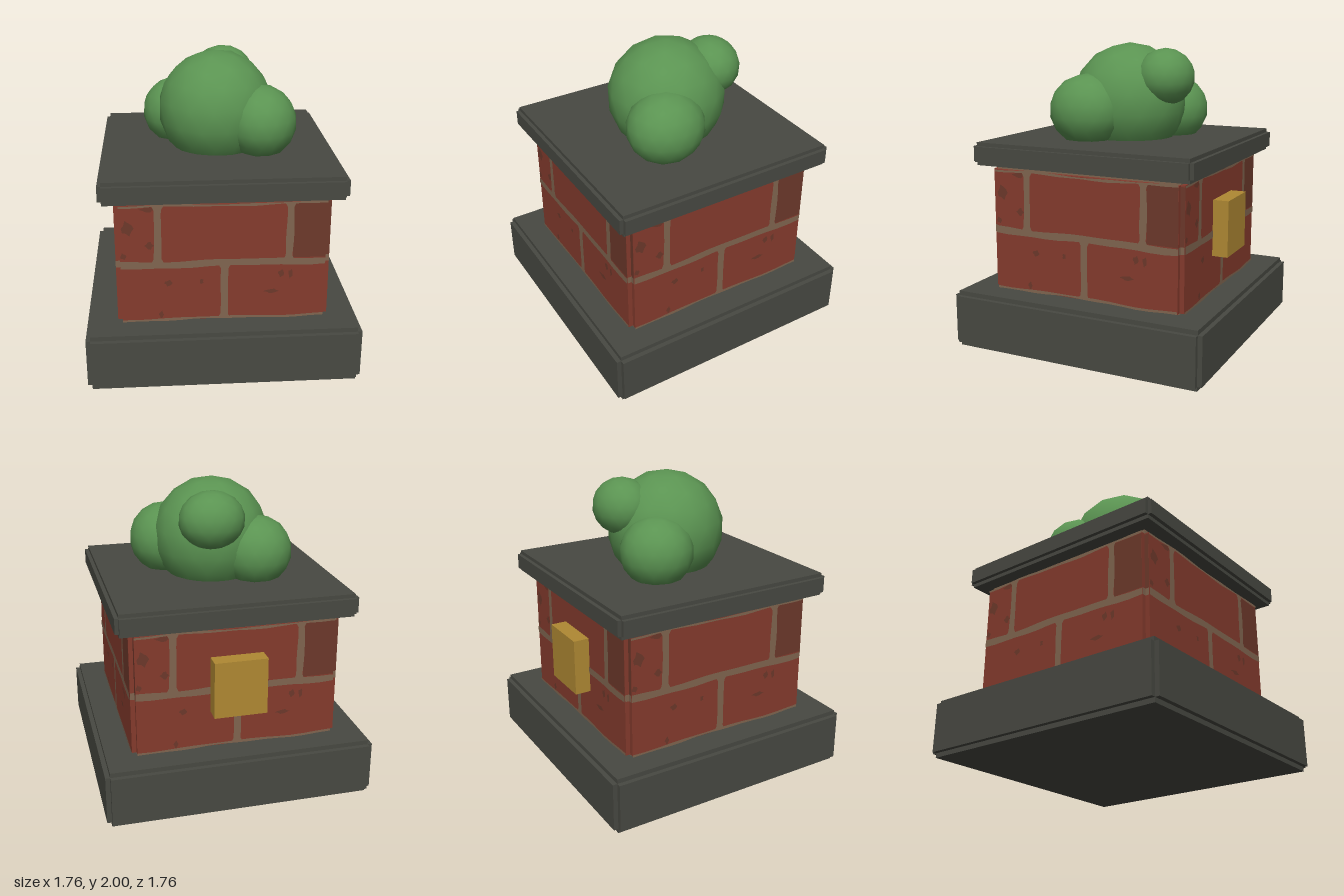
import * as THREE from 'three';

const mat = (name, color, side = THREE.FrontSide) => {
  const m = new THREE.MeshStandardMaterial({ color, side });
  m.name = name;
  return m;
};

export function createModel() {
  const stone = mat('darkStone', 0x484942);
  const brick = mat('redBrick', 0x853b2d);
  const burnt = mat('burntBrick', 0x6d392b);
  const mortar = mat('mortar', 0x80654f);
  const brass = mat('brass', 0xb08933);
  const leaf = mat('leafGreen', 0x5b9452);

  const model = new THREE.Group();
  model.name = 'brickPlanter';

  const add = (parent, name, geometry, material, x = 0, y = 0, z = 0) => {
    const mesh = new THREE.Mesh(geometry, material);
    mesh.name = name;
    mesh.position.set(x, y, z);
    parent.add(mesh);
    return mesh;
  };

  // Square block with stepped edges: three boxes, each full along one axis
  const steppedBlock = (name, half, y0, y1, inset, material, coreMaterial = material) => {
    const g = new THREE.Group();
    g.name = name;
    const w = 2 * half, n = w - 2 * inset, h = y1 - y0, y = (y0 + y1) / 2;
    add(g, name + 'Core', new THREE.BoxGeometry(n, h, n), coreMaterial, 0, y);
    add(g, name + 'Wide', new THREE.BoxGeometry(w, h - 2 * inset, n), material, 0, y);
    add(g, name + 'Deep', new THREE.BoxGeometry(n, h - 2 * inset, w), material, 0, y);
    model.add(g);
  };
  steppedBlock('base', 0.88, 0, 0.38, 0.03, stone);
  steppedBlock('brickBody', 0.68, 0.36, 1.22, 0.03, brick, mortar);
  steppedBlock('cap', 0.77, 1.22, 1.37, 0.025, stone);

  // Wavy mortar joint from a to b along one axis
  const joint = (a, b, centre, width, vertical, seed) => {
    const steps = 14, near = [], far = [];
    for (let i = 0; i <= steps; i++) {
      const t = a + (b - a) * i / steps;
      const flare = vertical && (i === 0 || i === steps) ? 0.014 : 0;
      const drift = 0.005 * Math.sin(t * 7 + seed);
      const lo = centre + drift - width / 2 - flare + 0.003 * Math.sin(t * 17 + seed * 2);
      const hi = centre + drift + width / 2 + flare + 0.003 * Math.sin(t * 13 + seed * 3);
      near.push(vertical ? new THREE.Vector2(lo, t) : new THREE.Vector2(t, lo));
      far.unshift(vertical ? new THREE.Vector2(hi, t) : new THREE.Vector2(t, hi));
    }
    return new THREE.ShapeGeometry(new THREE.Shape([...near, ...far]));
  };

  // Irregular scorched patch
  const patch = (x, y, rx, ry) => {
    const pts = [];
    for (let i = 0; i < 10; i++) {
      const a = i / 10 * Math.PI * 2, k = 1 + 0.25 * Math.sin(i * 2.4 + x * 9);
      pts.push(new THREE.Vector2(x + rx * k * Math.cos(a), y + ry * k * Math.sin(a)));
    }
    return new THREE.ShapeGeometry(new THREE.Shape(pts));
  };

  const patches = [
    [-0.6, 1.04, 0.035, 0.045], [-0.47, 1.165, 0.045, 0.018], [-0.465, 0.92, 0.025, 0.025],
    [-0.35, 0.655, 0.025, 0.02], [-0.14, 0.66, 0.012, 0.018], [0.31, 0.575, 0.045, 0.014],
    [0.37, 0.7, 0.02, 0.025], [0.43, 0.695, 0.014, 0.03], [-0.4, 0.43, 0.015, 0.025],
    [-0.63, 0.85, 0.018, 0.02],
  ];

  // The same brick pattern on all four sides
  for (let s = 0; s < 4; s++) {
    const side = new THREE.Group();
    side.name = 'brickSide' + (s + 1);
    side.rotation.y = s * Math.PI / 2;
    const z = 0.684;
    add(side, 'middleJoint', joint(-0.65, 0.65, 0.787, 0.046, false, 1), mortar, 0, 0, z);
    add(side, 'bottomJoint', joint(-0.65, 0.65, 0.396, 0.016, false, 2), mortar, 0, 0, z);
    add(side, 'topJoint', joint(-0.65, 0.65, 1.184, 0.014, false, 4), mortar, 0, 0, z);
    add(side, 'lowerJoint', joint(0.395, 0.775, 0.003, 0.048, true, 3), mortar, 0, 0, z);
    add(side, 'upperLeftJoint', joint(0.8, 1.185, -0.41, 0.045, true, 5), mortar, 0, 0, z);
    add(side, 'upperRightJoint', joint(0.8, 1.185, 0.415, 0.045, true, 0.5), mortar, 0, 0, z);
    add(side, 'burntBrick', new THREE.PlaneGeometry(0.21, 0.37), burnt, 0.545, 0.995, 0.682);
    for (const p of patches) add(side, 'scorchPatch', patch(...p), burnt, 0, 0, 0.682);
    // Pieces continuing into the corner notches
    add(side, 'cornerJoint', new THREE.PlaneGeometry(1.36, 0.046), mortar, 0, 0.787, 0.653);
    add(side, 'cornerBurnt', new THREE.PlaneGeometry(0.04, 0.37), burnt, 0.66, 0.995, 0.652);
    model.add(side);
  }

  // Plaque on the back
  add(model, 'backPlaque', new THREE.BoxGeometry(0.345, 0.375, 0.125), brass, 0, 0.823, -0.7225);

  // Bush made of faceted-outline, smooth-shaded blobs
  const bush = new THREE.Group();
  bush.name = 'bush';
  const ball = new THREE.IcosahedronGeometry(1, 2);
  ball.rotateZ(Math.atan(2 / (1 + Math.sqrt(5)))); // one corner points straight up
  const blobs = [
    ['mainLeaves', 0, 1.61, 0, 0.385, 0.39, 0.39],
    ['frontLeaves', 0.28, 1.56, 0.175, 0.238, 0.243, 0.26],
    ['sideLeaves', -0.25, 1.54, -0.215, 0.24, 0.235, 0.24],
    ['backLeaves', 0.065, 1.78, -0.29, 0.215, 0.19, 0.192],
  ];
  for (const [name, x, y, z, rx, ry, rz] of blobs)
    add(bush, name, ball, leaf, x, y, z).scale.set(rx, ry, rz);
  model.add(bush);

  return model;
}
